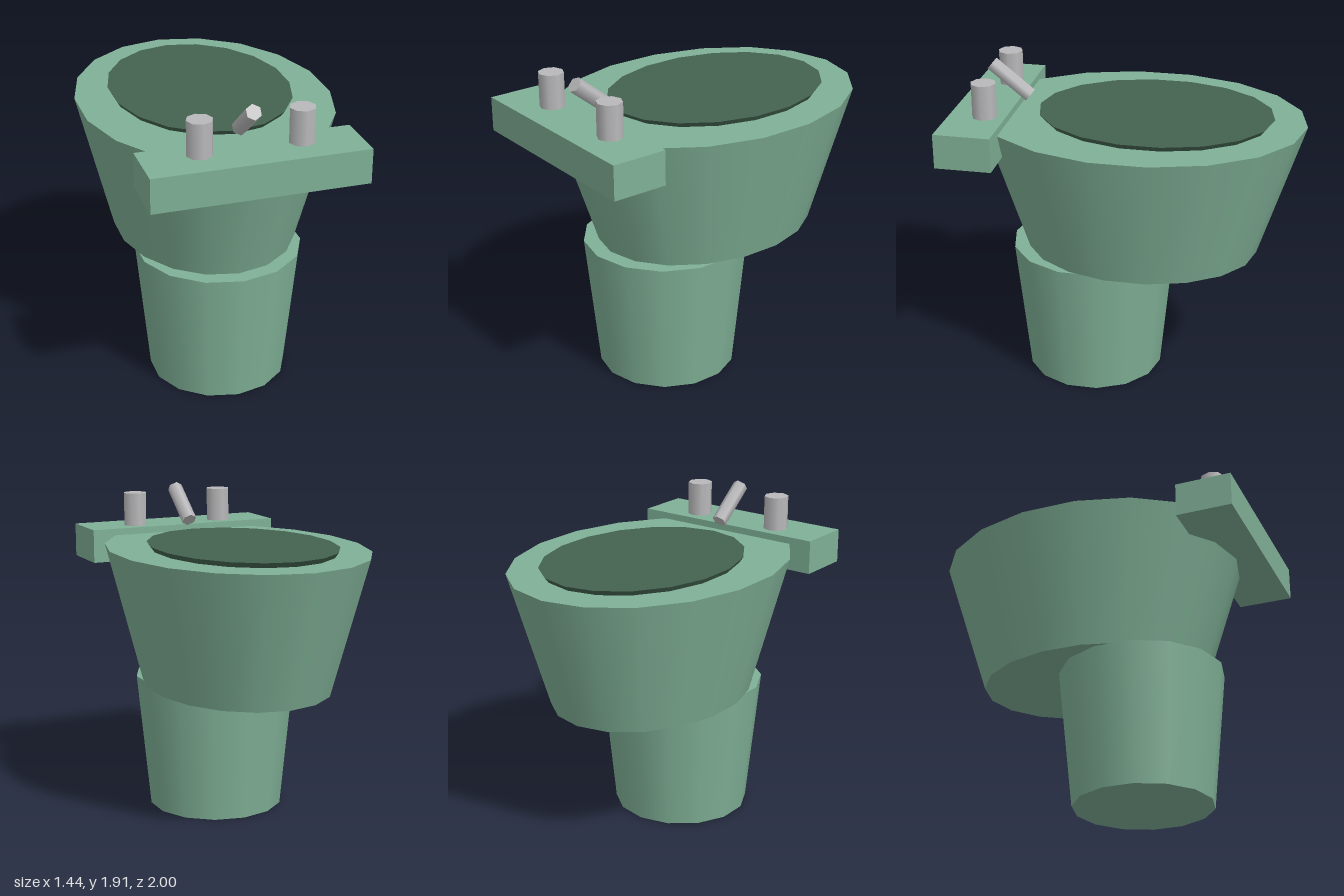
import * as THREE from 'three';

const mat = (name, color) => {
  const m = new THREE.MeshStandardMaterial({ color });
  m.name = name;
  return m;
};

export function createModel() {
  const green = mat('sage green', 0x7fb096);
  const dark = mat('dark green', 0x446350);
  const grey = mat('metal grey', 0xb9b9bb);
  const root = new THREE.Group();
  root.name = 'basin';

  const add = (name, geometry, material, x, y, z) => {
    const mesh = new THREE.Mesh(geometry, material);
    mesh.name = name;
    mesh.position.set(x, y, z);
    root.add(mesh);
    return mesh;
  };

  // Tapered elliptical drum between heights y0 and y1
  const drum = (name, material, rTop, rBottom, y0, y1, z, sides, stretch = 1) => {
    const g = new THREE.CylinderGeometry(rTop, rBottom, y1 - y0, sides);
    g.scale(1, 1, stretch);
    return add(name, g, material, 0, (y0 + y1) / 2, z);
  };

  // Pedestal, bowl and the dark inset on top
  drum('pedestal', green, 0.485, 0.405, 0, 0.81, 0.235, 14);
  drum('bowl', green, 0.73, 0.528, 0.81, 1.62, -0.056, 18, 1.294);
  drum('bowlInset', dark, 0.523, 0.504, 1.62, 1.65, -0.135, 18, 1.3);

  // Ledge that carries the taps
  add('tapLedge', new THREE.BoxGeometry(1.21, 0.2, 0.325), green, 0, 1.56, 0.8375);

  // Pair of taps
  for (const [name, x] of [['leftTap', 0.283], ['rightTap', -0.283]]) {
    add(name, new THREE.CylinderGeometry(0.073, 0.073, 0.2, 8), grey, x, 1.76, 0.797);
  }

  // Slanted spout
  const spout = add('spout', new THREE.CylinderGeometry(0.045, 0.045, 0.285, 6), grey, 0, 1.785, 0.717);
  spout.rotation.x = 0.89;

  return root;
}
